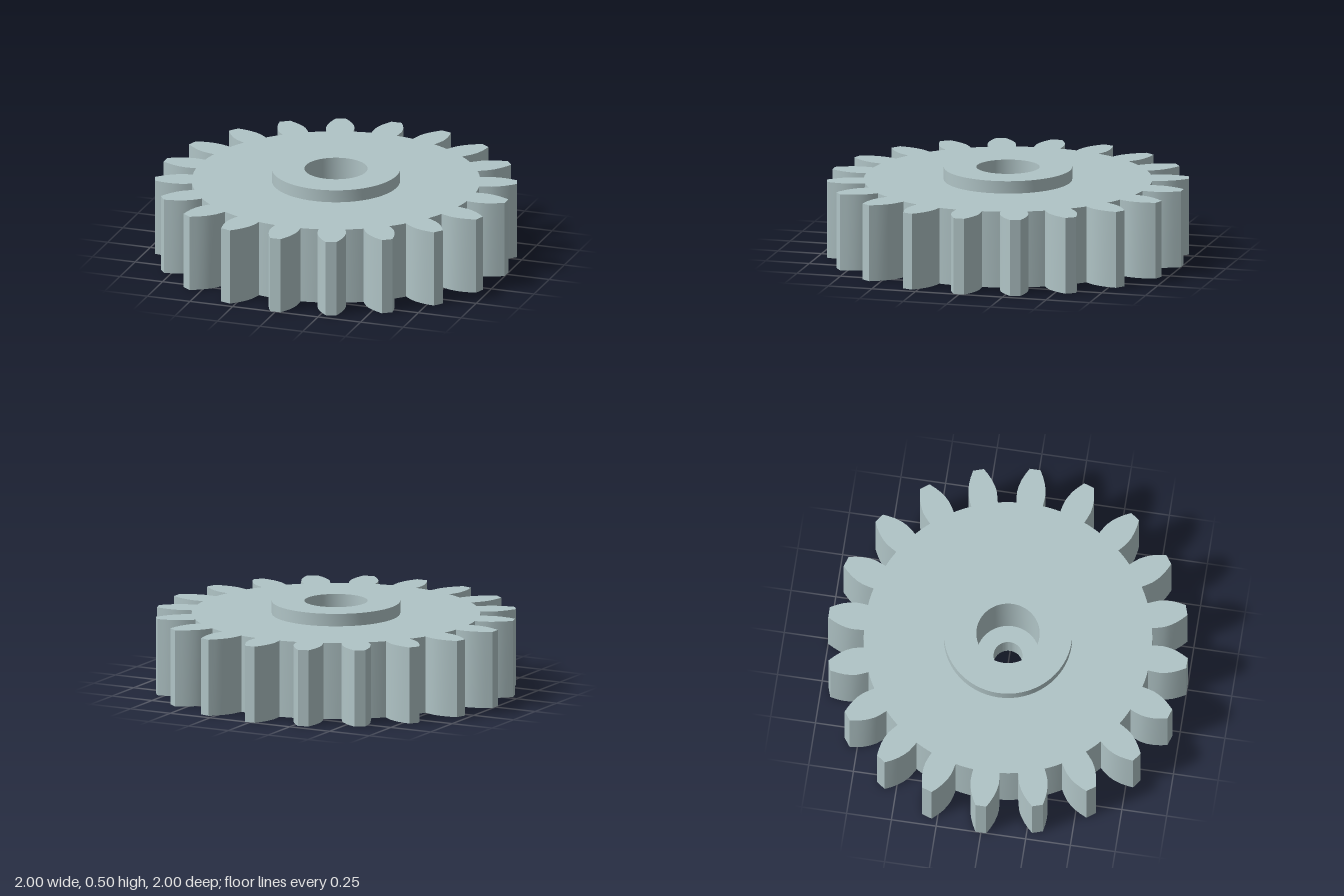
import * as THREE from 'three';
import { mergeGeometries, toCreasedNormals } from 'three/addons/utils/BufferGeometryUtils.js';

const TEETH = 20, HEIGHT = 0.43, HUB_TOP = 0.5, HUB_R = 0.355;
const BORE_R = 0.175, HOLE_R = 0.08, BORE_FLOOR = 0.14, ROOT_R = 0.797;

// Half of one tooth: distance from the axis, half width
const FLANK = [
  [0.793, 0.074], [0.82, 0.077], [0.86, 0.079], [0.895, 0.074],
  [0.93, 0.064], [0.965, 0.049], [1.0, 0.03],
];

// Counter-clockwise outline of the toothed wheel
function gearOutline() {
  const points = [];
  const pitch = (Math.PI * 2) / TEETH;
  const base = Math.atan2(FLANK[0][1], FLANK[0][0]);
  const tooth = [
    ...FLANK.map(([r, w]) => new THREE.Vector2(r, -w)),
    ...[...FLANK].reverse().map(([r, w]) => new THREE.Vector2(r, w)),
  ];
  const origin = new THREE.Vector2();
  for (let i = 0; i < TEETH; i++) {
    for (const p of tooth) points.push(p.clone().rotateAround(origin, i * pitch));
    // Root arc to the next tooth
    for (let k = 1; k < 4; k++) {
      const a = i * pitch + base + ((pitch - 2 * base) * k) / 4;
      points.push(new THREE.Vector2(Math.cos(a) * ROOT_R, Math.sin(a) * ROOT_R));
    }
  }
  return points;
}

// Flat gear-shaped face with a round opening
function gearFace(outline, openingRadius) {
  const shape = new THREE.Shape(outline);
  shape.holes.push(new THREE.Path().absarc(0, 0, openingRadius, 0, Math.PI * 2, true));
  return new THREE.ShapeGeometry(shape, 32);
}

// Upright wall that follows the outline
function gearWall(outline) {
  const positions = [], uvs = [], indices = [];
  const n = outline.length;
  outline.forEach((p, i) => {
    positions.push(p.x, 0, -p.y, p.x, HEIGHT, -p.y);
    uvs.push(i / n, 0, i / n, 1);
    const a = i * 2, b = ((i + 1) % n) * 2;
    indices.push(a, b, b + 1, a, b + 1, a + 1);
  });
  const geometry = new THREE.BufferGeometry();
  geometry.setAttribute('position', new THREE.Float32BufferAttribute(positions, 3));
  geometry.setAttribute('uv', new THREE.Float32BufferAttribute(uvs, 2));
  geometry.setIndex(indices);
  geometry.computeVertexNormals();
  return geometry;
}

export function createModel() {
  const group = new THREE.Group();
  group.name = 'spurGear';
  const steel = new THREE.MeshStandardMaterial({ color: 0xb0c4c6 });
  steel.name = 'paleSteel';

  const add = (geometry, name) => {
    const mesh = new THREE.Mesh(toCreasedNormals(geometry, Math.PI / 6), steel);
    mesh.name = name;
    group.add(mesh);
  };

  // Toothed wheel: wall, top face around the hub, bottom face around the hole
  const outline = gearOutline();
  add(mergeGeometries([
    gearWall(outline),
    gearFace(outline, HUB_R).rotateX(-Math.PI / 2).translate(0, HEIGHT, 0),
    gearFace(outline, HOLE_R).rotateX(Math.PI / 2),
  ]), 'toothedWheel');

  // Raised hub, wide bore and the narrow through hole as one turned profile
  const profile = [
    [HUB_R, HEIGHT], [HUB_R, HUB_TOP], [BORE_R, HUB_TOP],
    [BORE_R, BORE_FLOOR], [HOLE_R, BORE_FLOOR], [HOLE_R, 0],
  ].map(([r, y]) => new THREE.Vector2(r, y));
  add(new THREE.LatheGeometry(profile, 64), 'hubAndBore');

  return group;
}
